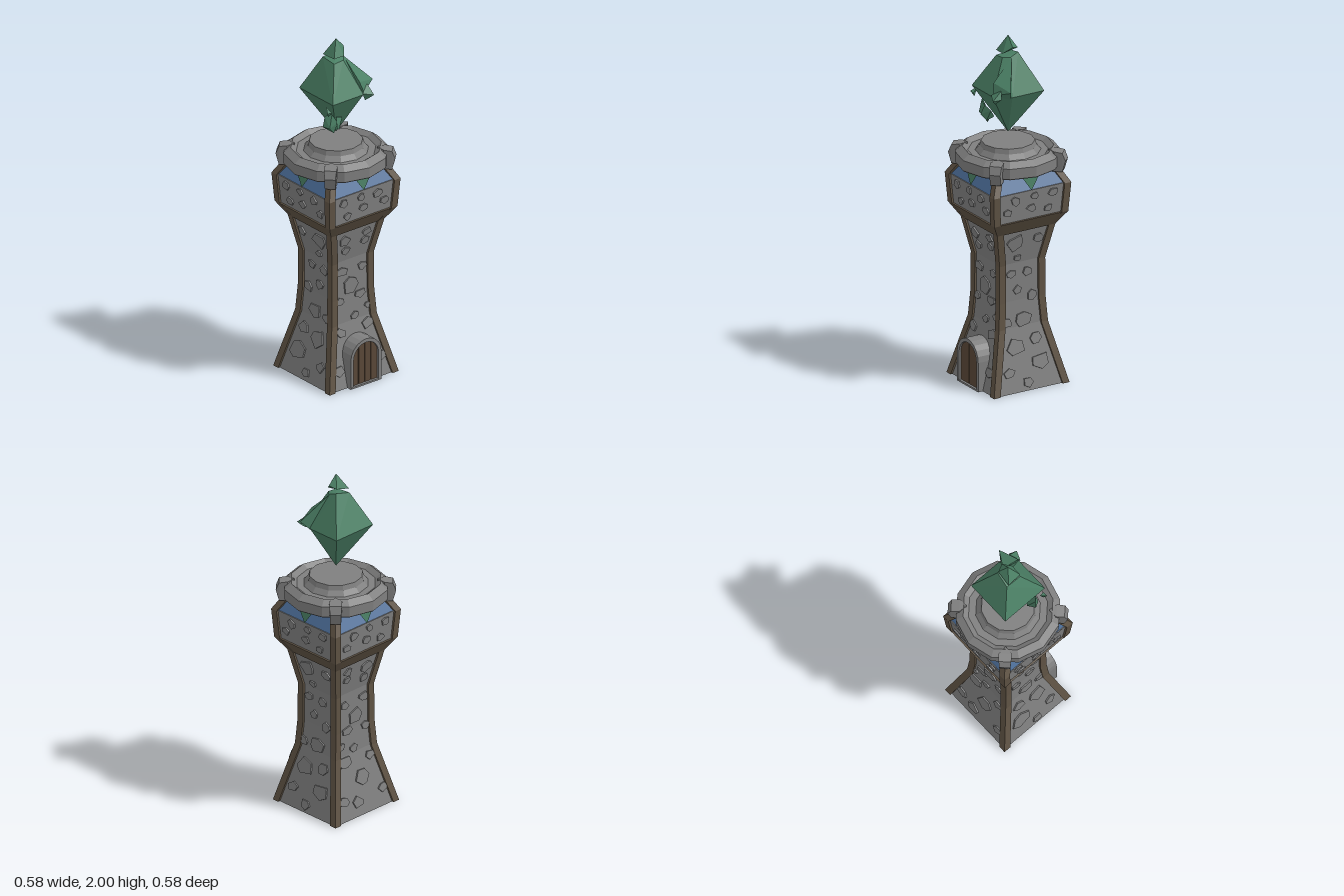
import * as THREE from 'three';
import { ConvexGeometry } from 'three/addons/geometries/ConvexGeometry.js';

const mat = (name, color, side = THREE.FrontSide) => {
  const m = new THREE.MeshStandardMaterial({ color, side });
  m.name = name;
  return m;
};

// Half width of the tower at the corner beams: [height, half width]
const PROFILE = [[0, 0.243], [0.35, 0.158], [0.5, 0.148], [0.72, 0.147], [0.92, 0.187], [1.0, 0.238], [1.17, 0.25], [1.27, 0.195]];
const INSET = 0.012;

function wallAt(y) {
  let i = 0;
  while (i < PROFILE.length - 2 && y > PROFILE[i + 1][0]) i++;
  const [y0, h0] = PROFILE[i], [y1, h1] = PROFILE[i + 1];
  const slope = (h1 - h0) / (y1 - y0);
  return { half: h0 + slope * (y - y0), slope };
}

const facet = (geometry) => {
  const g = geometry.index ? geometry.toNonIndexed() : geometry;
  g.computeVertexNormals();
  return g;
};

// Faceted lathe; four sides give a square section with the given half widths
function loft(points, sides) {
  const k = sides === 4 ? Math.SQRT2 : 1;
  const pts = points.map(([y, r]) => new THREE.Vector2(r * k, y));
  return facet(new THREE.LatheGeometry(pts, sides, sides === 4 ? Math.PI / 4 : 0));
}

function archShape(w, spring, top) {
  const s = new THREE.Shape();
  s.moveTo(-w, 0);
  s.lineTo(w, 0);
  s.lineTo(w, spring);
  s.absellipse(0, spring, w, top - spring, 0, Math.PI, false);
  s.lineTo(-w, 0);
  return s;
}

export function createModel() {
  const model = new THREE.Group();
  model.name = 'crystalTower';
  const stone = mat('stone grey', 0x7f7f7f);
  const wood = mat('weathered wood', 0x5f5344);
  const doorWood = mat('door wood', 0x594737);
  const dark = mat('dark gap', 0x2b2622);
  const blue = mat('blue cloth', 0x4a6b95, THREE.DoubleSide);
  const green = mat('green crystal', 0x4b8065, THREE.DoubleSide);

  const add = (name, geometry, material, parent = model) => {
    const m = new THREE.Mesh(geometry, material);
    m.name = name;
    parent.add(m);
    return m;
  };

  let seed = 7;
  const rand = () => (seed = (seed * 16807) % 2147483647) / 2147483647;

  // Stone walls with closed base, and the flared wooden collar
  const wall = PROFILE.slice(0, 7).map(([y, h]) => [y, h - INSET]);
  add('walls', loft([[0, 0], ...wall, [1.17, 0]], 4), stone);
  add('collar', loft([[0.915, 0.16], [0.918, 0.185], [1.0, 0.236], [1.003, 0.22]], 4), wood);

  // Sloping blue awning under the cap
  add('awning', loft([[1.165, 0.236], [1.27, 0.165]], 4), blue);

  // Corner beams follow the wall profile
  const n = PROFILE.length - 1;
  for (const sx of [-1, 1]) for (const sz of [-1, 1]) {
    const g = new THREE.BoxGeometry(0.042, 1, 0.042, 1, n, 1);
    const p = g.attributes.position;
    for (let i = 0; i < p.count; i++) {
      const [y, h] = PROFILE[Math.round((p.getY(i) + 0.5) * n)];
      p.setXYZ(i, p.getX(i) + sx * (h - 0.021), y, p.getZ(i) + sz * (h - 0.021));
    }
    add('cornerBeam', facet(g), wood);
  }

  // Raised irregular stones: [across, height, radius]
  const upper = [[-0.14, 1.13, 0.026], [-0.02, 1.135, 0.022], [0.1, 1.125, 0.028], [-0.11, 1.045, 0.024], [0, 1.065, 0.026], [0.15, 1.065, 0.026]];
  const faceA = [...upper, [-0.07, 0.86, 0.038], [0.075, 0.87, 0.028], [-0.06, 0.79, 0.026], [0.07, 0.82, 0.024],
    [-0.07, 0.66, 0.03], [0.07, 0.655, 0.026], [-0.01, 0.565, 0.05], [-0.085, 0.48, 0.026], [0.055, 0.49, 0.03],
    [0.1, 0.41, 0.022], [0.01, 0.375, 0.024], [-0.095, 0.3, 0.03], [0.09, 0.31, 0.04], [0.145, 0.11, 0.032], [-0.15, 0.1, 0.03]];
  const faceB = [...upper.map(([x, y, r]) => [-x, y, r]), [0.09, 0.85, 0.03], [-0.06, 0.85, 0.05], [-0.03, 0.75, 0.022],
    [0.035, 0.66, 0.026], [-0.07, 0.66, 0.028], [-0.03, 0.56, 0.028], [0.065, 0.515, 0.03], [0, 0.39, 0.045],
    [-0.1, 0.385, 0.028], [0.07, 0.27, 0.034], [-0.06, 0.245, 0.052], [0.085, 0.14, 0.052], [-0.01, 0.045, 0.03], [-0.12, 0.11, 0.03]];
  const flip = (list) => list.map(([x, y, r]) => [-x, y, r]);
  const faces = [faceA, faceB, [...flip(faceA), [0.02, 0.2, 0.045], [-0.04, 0.08, 0.035]], flip(faceB)];
  faces.forEach((list, f) => {
    const side = new THREE.Group();
    side.name = 'wallStones';
    side.rotation.y = f * Math.PI / 2;
    model.add(side);
    for (const [x, y, r] of list) {
      const sides = rand() < 0.5 ? 5 : 6, turn = rand() * 6;
      const pts = [];
      for (let i = 0; i < sides; i++) {
        const a = turn + (i + rand() * 0.5) / sides * Math.PI * 2, q = r * (0.85 + rand() * 0.4);
        pts.push(new THREE.Vector2(Math.cos(a) * q * 1.1, Math.sin(a) * q * 0.9));
      }
      const g = new THREE.ExtrudeGeometry(new THREE.Shape(pts), { depth: 0.014, bevelEnabled: false });
      const { half, slope } = wallAt(y);
      const m = add('wallStone', g, stone, side);
      m.position.set(x, y, half - INSET - 0.005);
      m.rotation.x = Math.atan(slope);
    }

    // Green pennant hanging in the middle of each side
    const pennant = new THREE.BufferGeometry();
    pennant.setAttribute('position', new THREE.Float32BufferAttribute([0, 1.17, 0.241, 0.065, 1.265, 0.232, -0.065, 1.265, 0.232], 3));
    pennant.computeVertexNormals();
    add('pennant', pennant, green, side);
  });

  // Door: stone arch, dark backing, planks and sill
  const frame = archShape(0.108, 0.17, 0.277);
  frame.holes.push(archShape(0.088, 0.17, 0.256));
  add('doorArch', new THREE.ExtrudeGeometry(frame, { depth: 0.11, bevelEnabled: false, curveSegments: 5 }), stone).position.z = 0.15;
  add('doorBacking', new THREE.ExtrudeGeometry(archShape(0.09, 0.17, 0.258), { depth: 0.09, bevelEnabled: false, curveSegments: 5 }), dark).position.z = 0.15;
  const archTop = (x) => 0.17 + 0.084 * Math.sqrt(Math.max(0, 1 - (x / 0.088) ** 2));
  for (let i = 0; i < 4; i++) {
    const a = -0.086 + i * 0.0435, b = a + 0.039, s = new THREE.Shape();
    s.moveTo(a, 0.012);
    s.lineTo(b, 0.012);
    for (let k = 0; k <= 3; k++) {
      const x = b + (a - b) * k / 3;
      s.lineTo(x, archTop(x));
    }
    add('doorPlank', new THREE.ExtrudeGeometry(s, { depth: 0.009, bevelEnabled: false }), doorWood).position.z = 0.24;
  }
  add('doorSill', new THREE.BoxGeometry(0.21, 0.01, 0.13), stone).position.set(0, 0.005, 0.196);

  // Twelve sided stone cap with a raised rim and central plinth
  add('cap', loft([[1.26, 0], [1.26, 0.285], [1.265, 0.29], [1.325, 0.29], [1.355, 0.25], [1.332, 0.22],
    [1.332, 0.18], [1.36, 0.156], [1.388, 0.148], [1.388, 0]], 12), stone);

  // Stone claws gripping the rim at the corners
  const claw = new ConvexGeometry([
    [0, 1.355, 0.225], [-0.036, 1.352, 0.265], [0.036, 1.352, 0.265], [-0.034, 1.345, 0.31], [0.034, 1.345, 0.31],
    [-0.03, 1.3, 0.328], [0.03, 1.3, 0.328], [-0.03, 1.235, 0.31], [0.03, 1.235, 0.31], [-0.03, 1.235, 0.25], [0.03, 1.235, 0.25],
  ].map((p) => new THREE.Vector3(...p)));
  for (let i = 0; i < 4; i++) add('rimClaw', claw, stone).rotation.y = Math.PI / 4 + i * Math.PI / 2;

  // Floating broken crystal
  const shard = (name, ...pts) => add(name, new ConvexGeometry(pts.map((p) => new THREE.Vector3(...p))), green);
  shard('mainCrystal', [0, 1.435, 0], [-0.14, 1.69, -0.145], [0.14, 1.69, -0.145], [-0.14, 1.69, 0.145], [0.075, 1.69, 0.145],
    [0.14, 1.69, 0.06], [-0.05, 1.885, -0.053], [0.04, 1.905, -0.04], [0.045, 1.885, 0.01], [0.015, 1.88, 0.045], [-0.05, 1.875, 0.045]);
  shard('crystalSpike', [0.045, 1.885, 0.005], [0.18, 1.735, 0.095], [0.08, 1.7, 0.145], [0.06, 1.765, 0.13], [0.125, 1.67, 0.06], [0.06, 1.72, 0.02]);
  shard('crystalTip', [0, 2, 0], [-0.055, 1.905, -0.045], [0.035, 1.93, -0.04], [0.052, 1.942, 0.003], [0.018, 1.905, 0.045], [-0.05, 1.905, 0.045]);
  shard('frontShard', [0.065, 1.7, 0.15], [0.12, 1.735, 0.12], [0.125, 1.685, 0.176], [0.09, 1.65, 0.14], [0.14, 1.69, 0.13]);
  shard('lowerShard', [-0.14, 1.6, 0.075], [-0.11, 1.61, 0.1], [-0.15, 1.535, 0.07], [-0.13, 1.53, 0.105], [-0.08, 1.48, 0.08], [-0.1, 1.5, 0.05], [-0.06, 1.54, 0.09]);
  shard('innerShard', [-0.08, 1.585, 0.1], [-0.03, 1.565, 0.09], [-0.045, 1.52, 0.06], [-0.06, 1.5, 0.1], [-0.09, 1.53, 0.12]);
  shard('sideShard', [-0.17, 1.645, 0.135], [-0.15, 1.67, 0.1], [-0.14, 1.64, 0.135], [-0.153, 1.615, 0.12]);
  return model;
}
